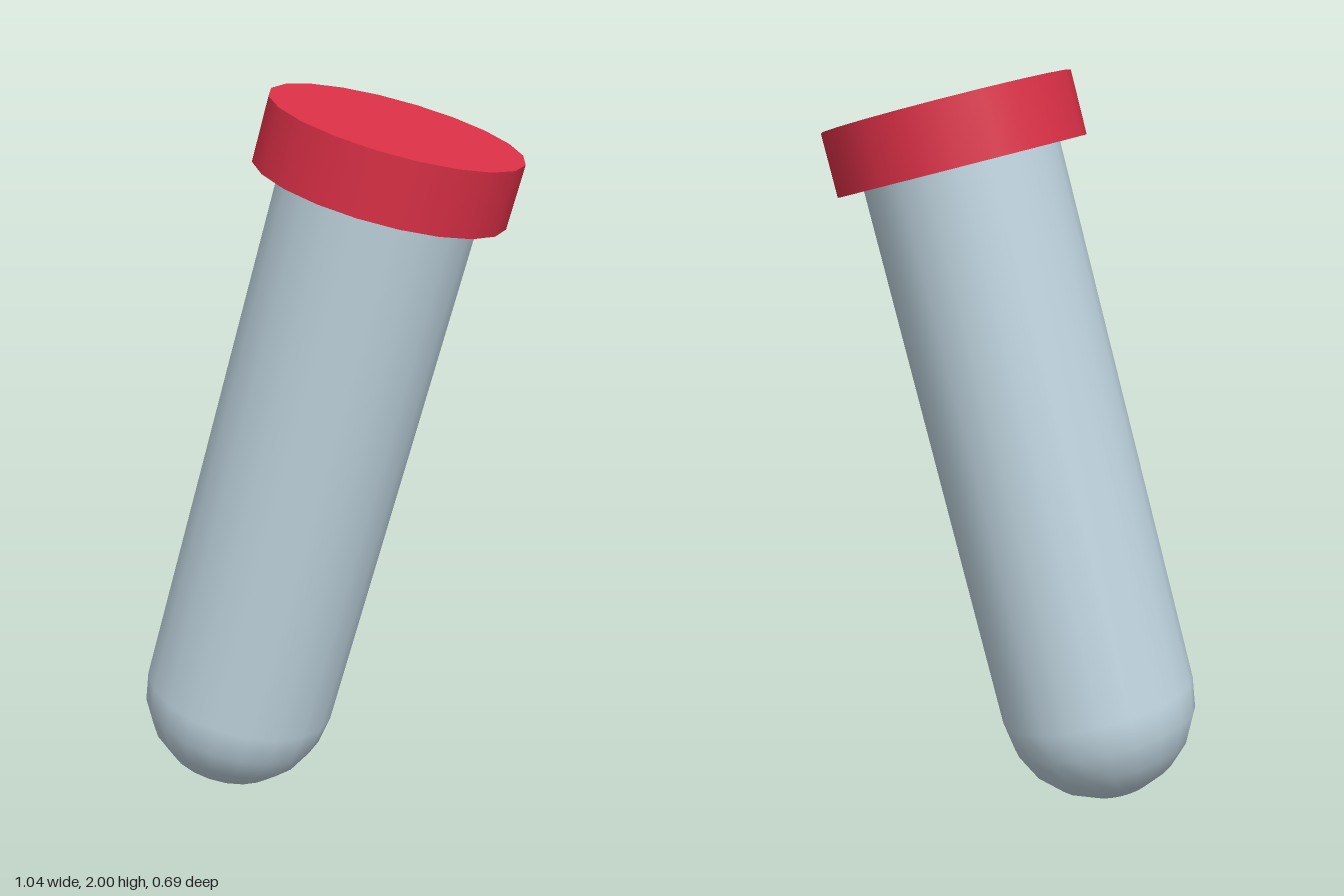
import * as THREE from 'three';

const SIDES = 20;
const TUBE_RADIUS = 0.272;
const TUBE_LENGTH = 1.54;
const CAP_RADIUS = 0.345;
const CAP_HEIGHT = 0.176;
const TOTAL_LENGTH = 1.697; // from the rounded end's centre to the cap top

export function createModel() {
  const glass = new THREE.MeshStandardMaterial({ color: 0xbfd4df });
  glass.name = 'pale blue glass';
  const red = new THREE.MeshStandardMaterial({ color: 0xdc3047 });
  red.name = 'red cap';

  const model = new THREE.Group();
  model.name = 'testTube';

  // Everything is built upright, then leaned towards +x
  const leaning = new THREE.Group();
  leaning.name = 'leaningTube';
  leaning.position.set(-0.252, 0.272, 0);
  leaning.rotation.z = -THREE.MathUtils.degToRad(15);
  model.add(leaning);

  const add = (name, geometry, material, y) => {
    const mesh = new THREE.Mesh(geometry, material);
    mesh.name = name;
    mesh.position.y = y;
    leaning.add(mesh);
  };

  // Straight body, its top tucked into the cap
  add('tubeBody',
    new THREE.CylinderGeometry(TUBE_RADIUS, TUBE_RADIUS, TUBE_LENGTH, SIDES, 1, true),
    glass, TUBE_LENGTH / 2);

  // Rounded lower end
  add('roundedEnd',
    new THREE.SphereGeometry(TUBE_RADIUS, SIDES, 5, 0, Math.PI * 2, Math.PI / 2, Math.PI / 2),
    glass, 0);

  // Wide flat cap
  add('cap',
    new THREE.CylinderGeometry(CAP_RADIUS, CAP_RADIUS, CAP_HEIGHT, SIDES),
    red, TOTAL_LENGTH - CAP_HEIGHT / 2);

  return model;
}
